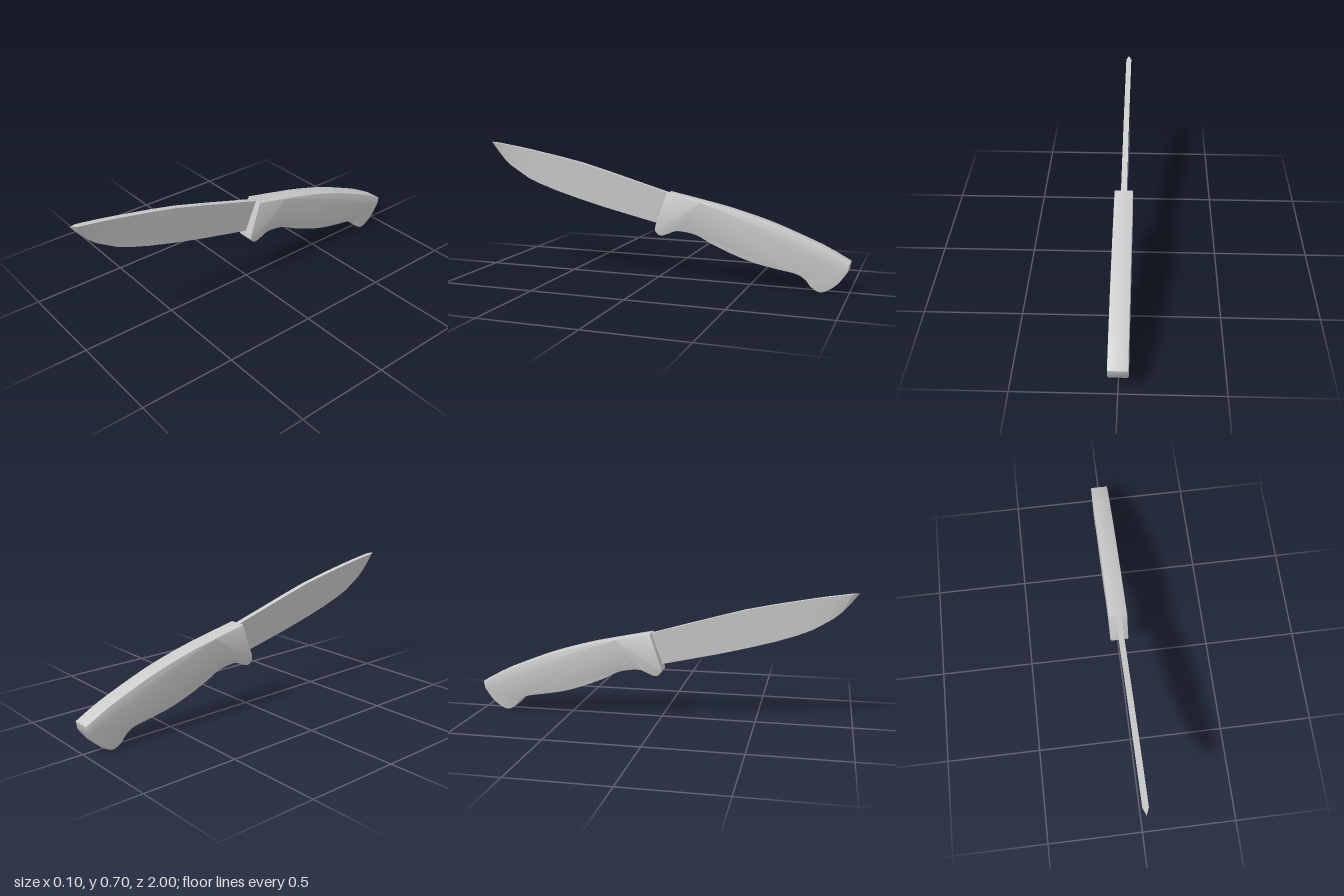
import * as THREE from 'three';
import { toCreasedNormals } from 'three/addons/utils/BufferGeometryUtils.js';

const material = new THREE.MeshStandardMaterial({ color: 0xcccccc });
const points = (list) => list.map(([z, y]) => new THREE.Vector2(z, y));

// Handle: side outline in (z, y), extruded across x with a fine bevel.
function createHandle() {
  const outline = new THREE.Shape();
  outline.moveTo(-0.055, 0.461);
  outline.lineTo(0.005, 0.285);
  outline.lineTo(0.007, 0.26);
  // finger guard, grip and pommel hook
  outline.splineThru(points([
    [-0.006, 0.243], [-0.028, 0.234], [-0.065, 0.246], [-0.11, 0.263], [-0.17, 0.26],
    [-0.23, 0.245], [-0.31, 0.205], [-0.42, 0.16], [-0.53, 0.125], [-0.64, 0.103],
    [-0.74, 0.085], [-0.785, 0.06], [-0.82, 0.022], [-0.87, 0.003], [-0.94, 0.045],
    [-0.993, 0.115],
  ]));
  outline.lineTo(-1, 0.155);
  // arched back
  outline.splineThru(points([
    [-0.91, 0.203], [-0.82, 0.244], [-0.605, 0.327], [-0.4, 0.387], [-0.23, 0.425],
    [-0.055, 0.461],
  ]));
  const halfWidth = 0.048, bevel = 0.004;
  const geometry = new THREE.ExtrudeGeometry(outline, {
    depth: 2 * (halfWidth - bevel), curveSegments: 48,
    bevelThickness: bevel, bevelSize: bevel, bevelOffset: -bevel, bevelSegments: 2,
  });
  geometry.translate(0, 0, bevel - halfWidth);
  geometry.rotateY(-Math.PI / 2);
  const mesh = new THREE.Mesh(toCreasedNormals(geometry, 0.5), material);
  mesh.name = 'handle';
  return mesh;
}

// Blade: wedge sections with a flat spine on top and a sharp edge below.
function createBlade() {
  const halfSpine = 0.015;
  // spine z, spine y, edge z, edge y
  const stations = [
    [-0.06, 0.457, -0.02, 0.286], [0.1, 0.503, 0.13, 0.32], [0.27, 0.552, 0.3, 0.359],
    [0.44, 0.599, 0.46, 0.4], [0.58, 0.629, 0.6, 0.44], [0.69, 0.65, 0.7, 0.474],
    [0.785, 0.668, 0.775, 0.505], [0.85, 0.679, 0.83, 0.538], [0.91, 0.688, 0.88, 0.569],
    [0.945, 0.693, 0.92, 0.603], [0.965, 0.696, 0.965, 0.655],
  ];
  const sections = stations.map(([zs, ys, ze, ye]) => [
    [halfSpine, ys, zs], [-halfSpine, ys, zs], [0, ye, ze],
  ]);
  const tip = [0, 0.701, 1];
  const positions = [];
  const face = (...corners) => corners.forEach((c) => positions.push(...c));

  face(sections[0][0], sections[0][2], sections[0][1]); // root
  sections.forEach((section, i) => {
    const next = sections[i + 1];
    for (let k = 0; k < 3; k++) {
      const a = section[k], b = section[(k + 1) % 3];
      if (next) {
        const c = next[k], d = next[(k + 1) % 3];
        face(a, b, c);
        face(b, d, c);
      } else {
        face(a, b, tip);
      }
    }
  });
  const geometry = new THREE.BufferGeometry();
  geometry.setAttribute('position', new THREE.Float32BufferAttribute(positions, 3));
  const mesh = new THREE.Mesh(toCreasedNormals(geometry, 0.3), material);
  mesh.name = 'blade';
  return mesh;
}

export function createModel() {
  const knife = new THREE.Group();
  knife.name = 'knife';
  knife.add(createHandle(), createBlade());
  return knife;
}
